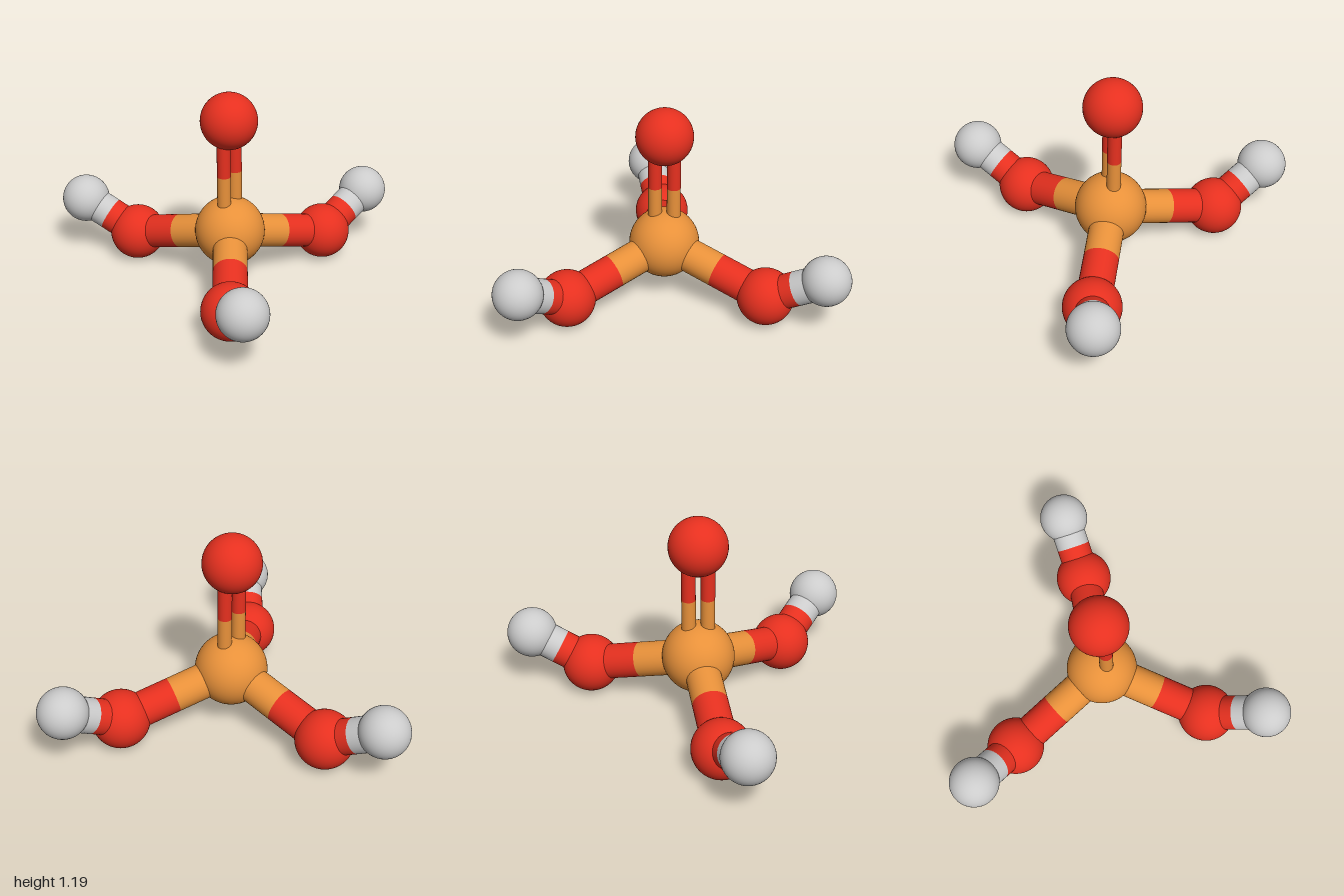
import * as THREE from 'three';

const ORANGE = new THREE.MeshStandardMaterial({ color: 0xe8913a });
const RED = new THREE.MeshStandardMaterial({ color: 0xe6301f });
const GREY = new THREE.MeshStandardMaterial({ color: 0xcccccc });

const V = (x, y, z) => new THREE.Vector3(x, y, z);

// Each atom kind has its own radius and colour
const KINDS = {
  phosphorus: { radius: 0.205, material: ORANGE },
  oxygen: { radius: 0.165, material: RED },
  hydrogen: { radius: 0.143, material: GREY },
};

function addAtom(parent, name, kind, position) {
  const { radius, material } = KINDS[kind];
  const mesh = new THREE.Mesh(new THREE.SphereGeometry(radius, 48, 32), material);
  mesh.name = name;
  mesh.position.copy(position);
  parent.add(mesh);
  return { position, radius, material };
}

function addRod(parent, name, from, to, radius, material) {
  const geometry = new THREE.CylinderGeometry(radius, radius, from.distanceTo(to), 32);
  const mesh = new THREE.Mesh(geometry, material);
  mesh.name = name;
  mesh.position.copy(from).lerp(to, 0.5);
  mesh.quaternion.setFromUnitVectors(V(0, 1, 0), to.clone().sub(from).normalize());
  parent.add(mesh);
}

// Two-coloured bond, split halfway between the surfaces of its atoms
function addBond(parent, name, a, b, radius, offset = V(0, 0, 0)) {
  const length = a.position.distanceTo(b.position);
  const split = (length + a.radius - b.radius) / 2 / length;
  const start = a.position.clone().add(offset);
  const end = b.position.clone().add(offset);
  const middle = start.clone().lerp(end, split);
  addRod(parent, name + 'Inner', start, middle, radius, a.material);
  addRod(parent, name + 'Outer', middle, end, radius, b.material);
}

export function createModel() {
  const model = new THREE.Group();
  model.name = 'molecule';

  const centre = addAtom(model, 'centralAtom', 'phosphorus', V(-0.05, 0.337, -0.208));

  // Upright oxygen on a double bond
  const top = addAtom(model, 'topOxygen', 'oxygen', V(-0.053, 1.028, -0.206));
  for (const side of [-1, 1]) {
    const offset = V(0.038 * side, 0, -0.038 * side);
    addBond(model, side < 0 ? 'doubleBondFront' : 'doubleBondBack', centre, top, 0.04, offset);
  }

  // Three arms, each an oxygen carrying a hydrogen
  const arms = [
    ['front', V(-0.151, 0.165, 0.435), V(-0.139, 0.342, 0.777)],
    ['left', V(0.562, 0.165, -0.449), V(0.855, 0.342, -0.627)],
    ['right', V(-0.558, 0.165, -0.625), V(-0.857, 0.342, -0.783)],
  ];
  for (const [side, oxygenAt, hydrogenAt] of arms) {
    const arm = new THREE.Group();
    arm.name = side + 'Arm';
    const oxygen = addAtom(arm, side + 'Oxygen', 'oxygen', oxygenAt);
    const hydrogen = addAtom(arm, side + 'Hydrogen', 'hydrogen', hydrogenAt);
    addBond(arm, side + 'InnerBond', centre, oxygen, 0.1);
    addBond(arm, side + 'OuterBond', oxygen, hydrogen, 0.1);
    model.add(arm);
  }

  return model;
}
